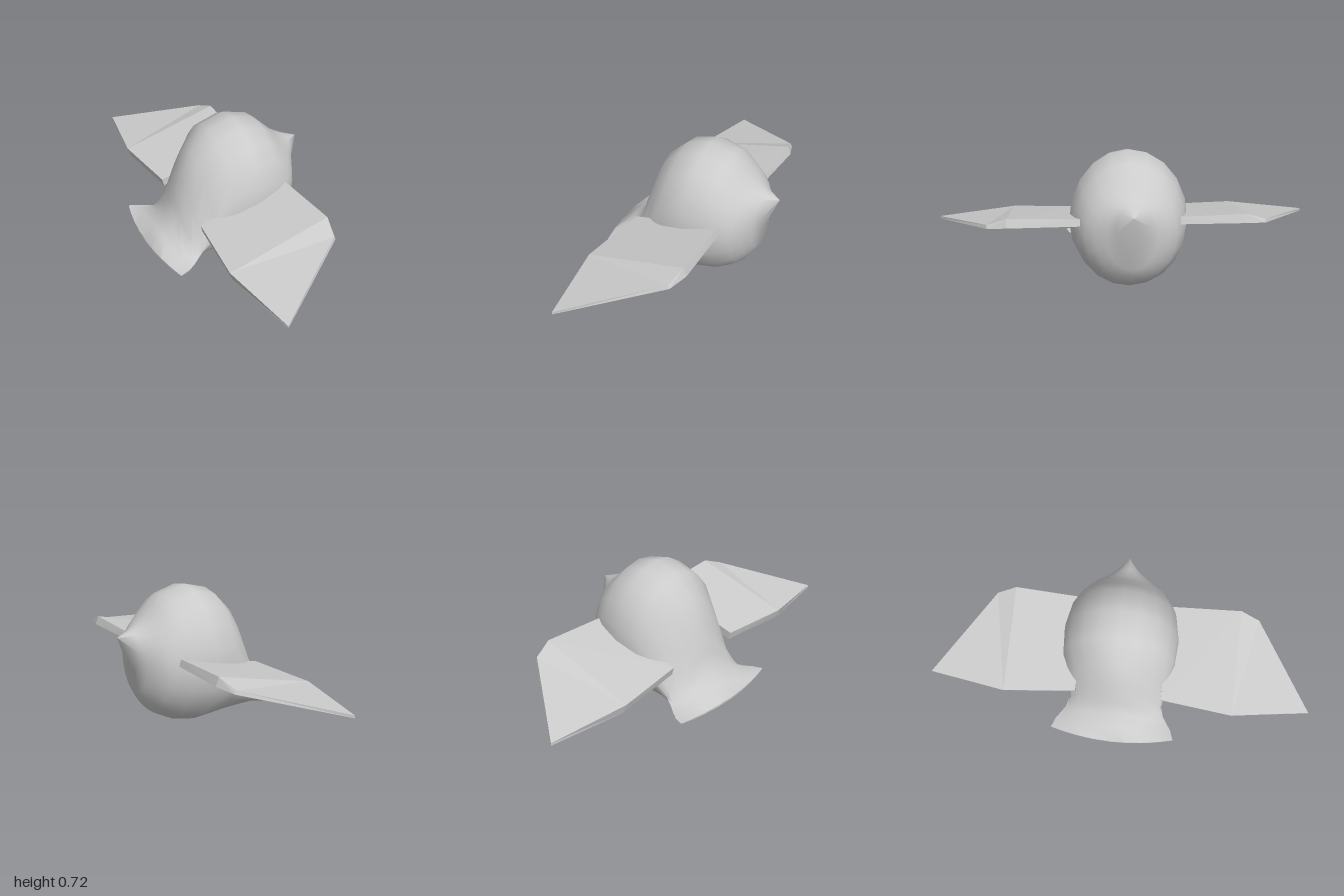
import * as THREE from 'three';
import { toCreasedNormals } from 'three/addons/utils/BufferGeometryUtils.js';

// Skin a row of closed rings and cap both ends with strips.
function loft(rings) {
  const n = rings[0].length, idx = [];
  const tri = (a, b, c) => { if (a !== b && b !== c && a !== c) idx.push(a, b, c); };
  for (let i = 0; i < rings.length - 1; i++) {
    for (let j = 0; j < n; j++) {
      const k = (j + 1) % n, a = i * n, b = a + n;
      tri(a + j, b + j, b + k);
      tri(a + j, b + k, a + k);
    }
  }
  const last = (rings.length - 1) * n;
  for (let j = 0; j < n / 2; j++) {
    const p = j, q = j + 1, r = n - j - 1, s = (n - j) % n;
    tri(p, q, r); tri(p, r, s);
    tri(last + p, last + r, last + q); tri(last + p, last + s, last + r);
  }
  const g = new THREE.BufferGeometry();
  g.setAttribute('position', new THREE.Float32BufferAttribute(rings.flat(2), 3));
  g.setIndex(idx);
  return g;
}

// Body stations from tail to beak: x, top, bottom, widest height, half width, tail flare
const STATIONS = [
  [-0.453, 0.12, 0.107, 0.113, 0.33, 1],
  [-0.38, 0.165, 0.087, 0.11, 0.312, 1],
  [-0.32, 0.212, 0.07, 0.11, 0.285, 1],
  [-0.285, 0.31, 0.061, 0.115, 0.265, 0.9],
  [-0.24, 0.46, 0.048, 0.15, 0.25, 0.6],
  [-0.175, 0.595, 0.03, 0.22, 0.265, 0.3],
  [-0.07, 0.69, 0.017, 0.31, 0.3, 0],
  [0.06, 0.725, 0.001, 0.34, 0.308, 0],
  [0.185, 0.69, 0.025, 0.35, 0.285, 0],
  [0.25, 0.625, 0.06, 0.35, 0.255, 0],
  [0.29, 0.585, 0.09, 0.35, 0.23, 0],
  [0.325, 0.555, 0.14, 0.36, 0.185, 0],
  [0.355, 0.54, 0.19, 0.38, 0.13, 0],
  [0.375, 0.53, 0.32, 0.43, 0.085, 0],
  [0.45, 0.501, 0.499, 0.5, 0.001, 0],
];

function bodyRing([x, top, bottom, mid, half, flare]) {
  const n = 20, ring = [];
  const bend = 0.045 * Math.min(1, Math.max(0, (-0.3 - x) / 0.15));
  for (let j = 0; j < n; j++) {
    const t = (j / n) * Math.PI * 2, c = Math.cos(t), s = Math.sin(t);
    const upper = s > 1e-6;
    // the upper half becomes bell-shaped towards the tail
    const w = Math.sign(c) * Math.pow(Math.abs(c), upper ? 1 + 0.3 * flare : 1);
    const y = upper ? mid + (top - mid) * Math.pow(s, 1 + 1.6 * flare) : mid + (mid - bottom) * s;
    ring.push([x + bend * w * w, y, half * w - 0.015]);
  }
  return ring;
}

// Wing sections: trailing top, leading top, leading bottom, trailing bottom as [x, y, z]
const WING = [
  [[-0.25, 0.31, 0.225], [0.235, 0.42, 0.225], [0.245, 0.385, 0.225], [-0.24, 0.268, 0.225]],
  [[-0.29, 0.305, 0.6], [0.247, 0.435, 0.6], [0.262, 0.39, 0.6], [-0.275, 0.257, 0.6]],
  [[-0.22, 0.28, 1], [0.22, 0.395, 0.7], [0.23, 0.378, 0.7], [-0.22, 0.266, 1]],
];

export function createModel() {
  const model = new THREE.Group();
  model.name = 'bird';

  // Rounded body drawn out into a beak and a fanned tail
  const body = new THREE.Mesh(
    toCreasedNormals(loft(STATIONS.map(bodyRing)), 1.1),
    new THREE.MeshStandardMaterial({ color: 0xcccccc })
  );
  body.name = 'body';
  model.add(body);

  // Mirrored flat wings
  const wingMaterial = new THREE.MeshStandardMaterial({ color: 0xcccccc, flatShading: true });
  const wingGeometry = loft(WING).toNonIndexed();
  wingGeometry.computeVertexNormals();
  for (const side of [1, -1]) {
    const wing = new THREE.Mesh(wingGeometry, wingMaterial);
    wing.name = side > 0 ? 'frontWing' : 'backWing';
    wing.scale.z = side;
    model.add(wing);
  }
  return model;
}
